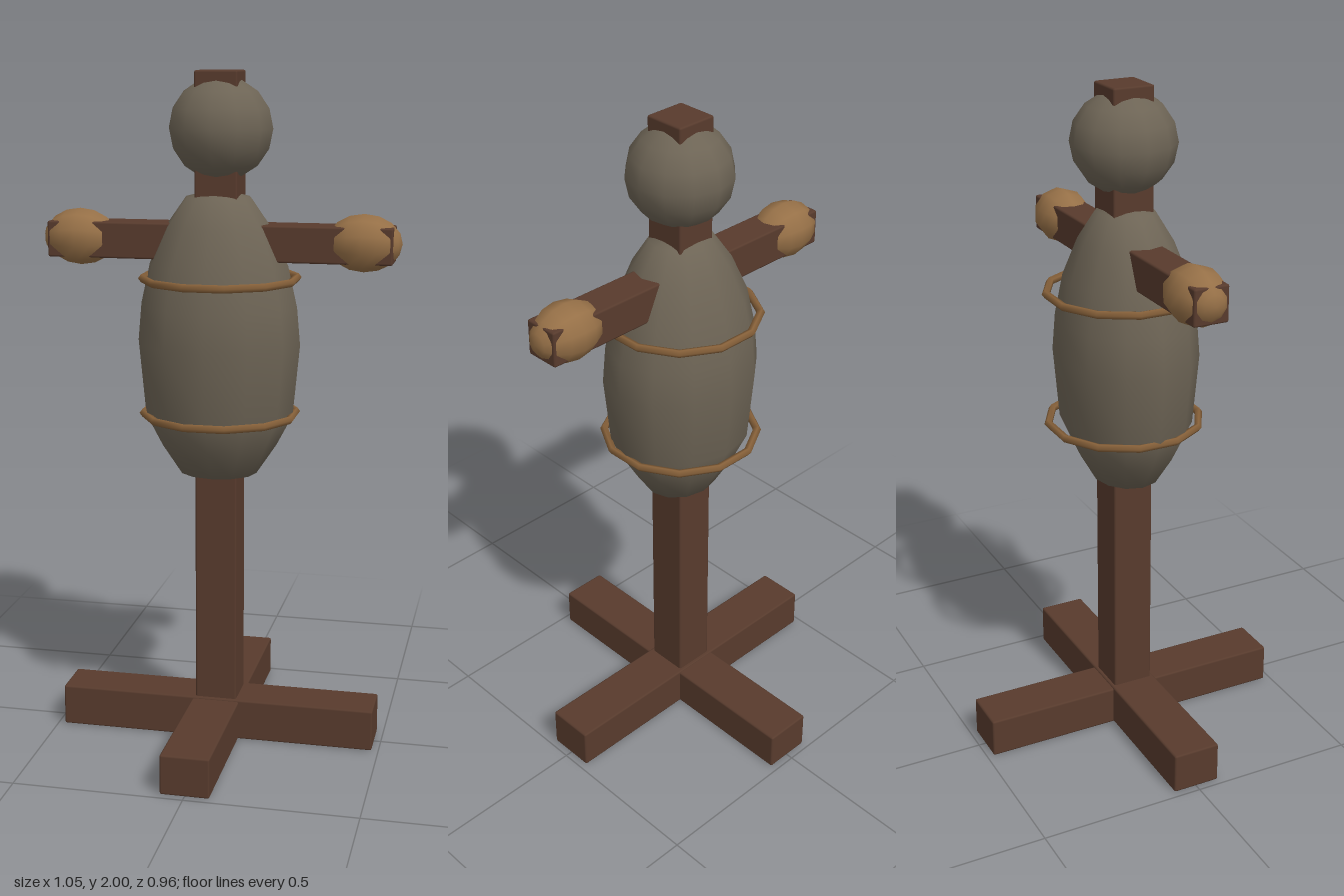
import * as THREE from 'three';
import { RoundedBoxGeometry } from 'three/addons/geometries/RoundedBoxGeometry.js';

const wood = new THREE.MeshStandardMaterial({ color: 0x583b2d });
wood.name = 'dark wood';
const sacking = new THREE.MeshStandardMaterial({ color: 0x6d6455 });
sacking.name = 'grey sacking';
const straw = new THREE.MeshStandardMaterial({ color: 0x967047 });
straw.name = 'straw';
const rope = new THREE.MeshStandardMaterial({ color: 0x866039 });
rope.name = 'rope';

export function createModel() {
  const model = new THREE.Group();
  model.name = 'trainingDummy';

  const add = (name, geometry, material, x, y, z) => {
    const mesh = new THREE.Mesh(geometry, material);
    mesh.name = name;
    mesh.position.set(x, y, z);
    model.add(mesh);
    return mesh;
  };
  const beam = (name, w, h, d, y) =>
    add(name, new RoundedBoxGeometry(w, h, d, 1, 0.006), wood, 0, y, 0);

  // Wooden frame: crossed feet, upright post and arm bar
  beam('footBeamAcross', 0.96, 0.125, 0.145, 0.0675);
  beam('footBeamDeep', 0.145, 0.12, 0.96, 0.065);
  beam('post', 0.125, 1.995, 0.125, 1.0025);
  beam('armBar', 1.01, 0.105, 0.105, 1.517);

  // Stuffed sack body, flattened front to back
  const profile = [
    [0.001, 0.82], [0.115, 0.83], [0.175, 0.92], [0.222, 1.01], [0.242, 1.22],
    [0.232, 1.33], [0.205, 1.45], [0.155, 1.56], [0.095, 1.645], [0.001, 1.67],
  ].map(([r, y]) => new THREE.Vector2(r, y));
  const body = add('body', new THREE.LatheGeometry(profile, 12), sacking, -0.004, 0, 0.003);
  body.scale.z = 0.85;

  // Round head over the post
  add('head', new THREE.SphereGeometry(0.152, 12, 8), sacking, 0.002, 1.838, 0).scale.y = 0.97;

  // Straw bundles at the arm ends
  for (const side of [-1, 1]) {
    const hand = add(side > 0 ? 'leftHand' : 'rightHand',
      new THREE.SphereGeometry(1, 10, 8), straw, side * 0.418, 1.521, 0);
    hand.rotation.z = -side * Math.PI / 2;
    hand.scale.set(0.083, 0.109, 0.082);
  }

  // Rope hoops around the body
  [1.01, 1.41].forEach((y, i) => {
    const hoop = add(i ? 'upperRope' : 'lowerRope',
      new THREE.TorusGeometry(0.226, 0.012, 5, 12), rope, 0, y, 0);
    hoop.rotation.set(Math.PI / 2, 0, Math.PI / 12);
  });

  return model;
}
